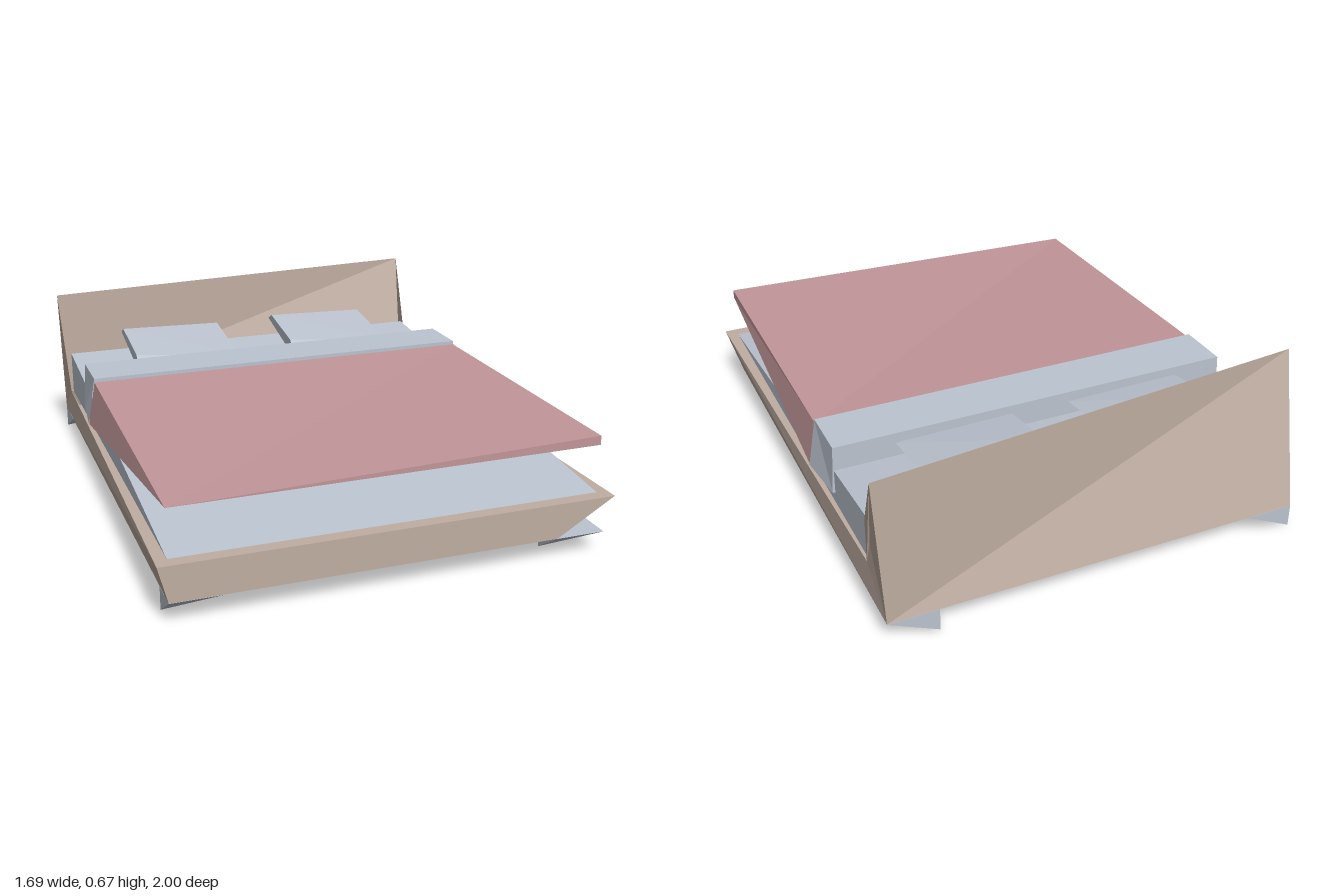
import * as THREE from 'three';

const makeMaterial = (name, color) => {
  const m = new THREE.MeshStandardMaterial({ color, side: THREE.DoubleSide });
  m.name = name;
  return m;
};

// Flat polygon panels, each fanned into triangles and turned away from an inner point
function panels(name, material, faces, inner) {
  const centre = new THREE.Vector3(...inner);
  const pos = [];
  for (const face of faces) {
    const p = face.map(c => new THREE.Vector3(...c));
    for (let i = 1; i < p.length - 1; i++) {
      const [a, b, c] = [p[0], p[i], p[i + 1]];
      const n = b.clone().sub(a).cross(c.clone().sub(a));
      const out = n.dot(a.clone().sub(centre)) >= 0;
      for (const v of out ? [a, b, c] : [a, c, b]) pos.push(v.x, v.y, v.z);
    }
  }
  const g = new THREE.BufferGeometry();
  g.setAttribute('position', new THREE.Float32BufferAttribute(pos, 3));
  g.computeVertexNormals();
  const mesh = new THREE.Mesh(g, material);
  mesh.name = name;
  return mesh;
}

export function createModel() {
  const wood = makeMaterial('wood', 0xc0aea2);
  const linen = makeMaterial('linen', 0xbcc4d0);
  const pink = makeMaterial('pink blanket', 0xc29699);
  const bed = new THREE.Group();
  bed.name = 'bed';

  // Frame: tapered tray with a rim, one bottom corner cut off
  const rimL = [-0.845, 0.225, 1], rimR = [0.845, 0.225, 1];
  const inL = [-0.8, 0.225, 0.95], inR = [0.8, 0.225, 0.95];
  const rearL = [-0.81, 0.225, -0.82], rearR = [0.81, 0.225, -0.82];
  const botL = [-0.81, 0.09, 1], cutA = [0.62, 0.09, 1], cutB = [0.81, 0.09, 0.87];
  const backL = [-0.81, 0.09, -1], backR = [0.81, 0.09, -1];
  bed.add(panels('frame', wood, [
    [rimL, botL, cutA, rimR],
    [rimR, cutA, cutB],
    [rimR, cutB, backR],
    [rimR, backR, rearR],
    [rimL, botL, backL],
    [rimL, backL, rearL],
    [rimL, rimR, inR, inL],
    [rimR, rearR, inR],
    [rimL, rearL, inL],
    [botL, cutA, cutB, backR, backL],
  ], [0, 0.16, 0]));

  // Headboard: leaning panel with a diagonal top edge
  const topL = [-0.845, 0.67, -0.825], topR = [0.845, 0.67, -1];
  const sideR = [0.81, 0.4, -0.82];
  bed.add(panels('headboard', wood, [
    [topL, topR, backR],
    [topL, backR, backL],
    [topL, topR, rearL],
    [topR, sideR, rearR, rearL],
    [topR, sideR, backR],
    [sideR, rearR, backR],
    [topL, rearL, backL],
  ], [0, 0.28, -0.88]));

  // Feet: pointed wedges under the four corners
  for (const [x0, x1, tipX] of [[-0.81, -0.62, -0.81], [0.62, 0.81, 0.62]]) {
    for (const [z0, z1, tipZ] of [[0.87, 1, 0.87], [-1, -0.82, -1]]) {
      const y = 0.089, tip = [tipX, 0, tipZ];
      const q = [[x0, y, z0], [x1, y, z0], [x1, y, z1], [x0, y, z1]];
      const sides = q.map((p, i) => [p, q[(i + 1) % 4], tip]);
      bed.add(panels('foot', linen, [q, ...sides],
        [(x0 + x1 + tipX) / 3, 0.07, (z0 + z1 + tipZ) / 3]));
    }
  }

  // Mattress: wedge rising towards the headboard
  const headL = [-0.8, 0.4, -0.82], headR = [0.8, 0.4, -0.82];
  const lowL = [-0.8, 0.225, -0.82], lowR = [0.8, 0.225, -0.82];
  bed.add(panels('mattress', linen, [
    [inL, inR, headR, headL],
    [inL, lowL, headL],
    [inR, lowR, headR],
    [lowL, lowR, headR, headL],
  ], [0, 0.25, -0.4]));

  // Blanket: thin top sheet, front hem and flaring side flaps
  const bL = [-0.8, 0.445, -0.25], bR = [0.8, 0.445, -0.25];
  const fL = [-0.8, 0.405, 0.95], fR = [0.8, 0.445, 0.95], hem = [0.8, 0.41, 0.95];
  bed.add(panels('blanket', pink, [
    [bL, fL, bR],
    [fL, fR, bR],
    [fL, fR, hem],
    [bR, fR, hem, [0.83, 0.27, -0.25]],
    [bL, fL, [-0.83, 0.27, -0.25]],
  ], [0, 0.35, 0.1]));

  // Folded sheet: strap over the bed with a leg at each side
  const strip = (y, z, x = 0.8) => [[-x, y, z], [x, y, z]];
  const [ftL, ftR] = strip(0.46, -0.25), [btL, btR] = strip(0.46, -0.46);
  const [fmL, fmR] = strip(0.44, -0.25), [bbL, bbR] = strip(0.27, -0.46, 0.81);
  const [fbL, fbR] = strip(0.27, -0.25, 0.832);
  bed.add(panels('foldedSheet', linen, [
    [ftL, ftR, btR, btL],
    [ftL, ftR, fmR, fmL],
    [btL, btR, bbR, bbL],
    [ftL, btL, bbL, fbL],
    [ftR, btR, bbR, fbR],
  ], [0, 0.35, -0.35]));

  // Pillows: full at one end, flattening to a sheet at the other
  for (const x of [-0.57, 0.125]) {
    const end = [[0.505, -0.775], [0.46, -0.51], [0.43, -0.475], [0.405, -0.51], [0.48, -0.82]]
      .map(([y, z]) => [x, y, z]);
    const [a, b, c, d, e] = end;
    const near = [x + 0.445, 0.43, -0.475], far = [x + 0.445, 0.48, -0.82];
    bed.add(panels('pillow', linen, [
      end,
      [a, b, near, far],
      [b, c, near],
      [c, d, near],
      [d, e, far, near],
      [e, a, far],
    ], [x + 0.15, 0.458, -0.64]));
  }
  return bed;
}
